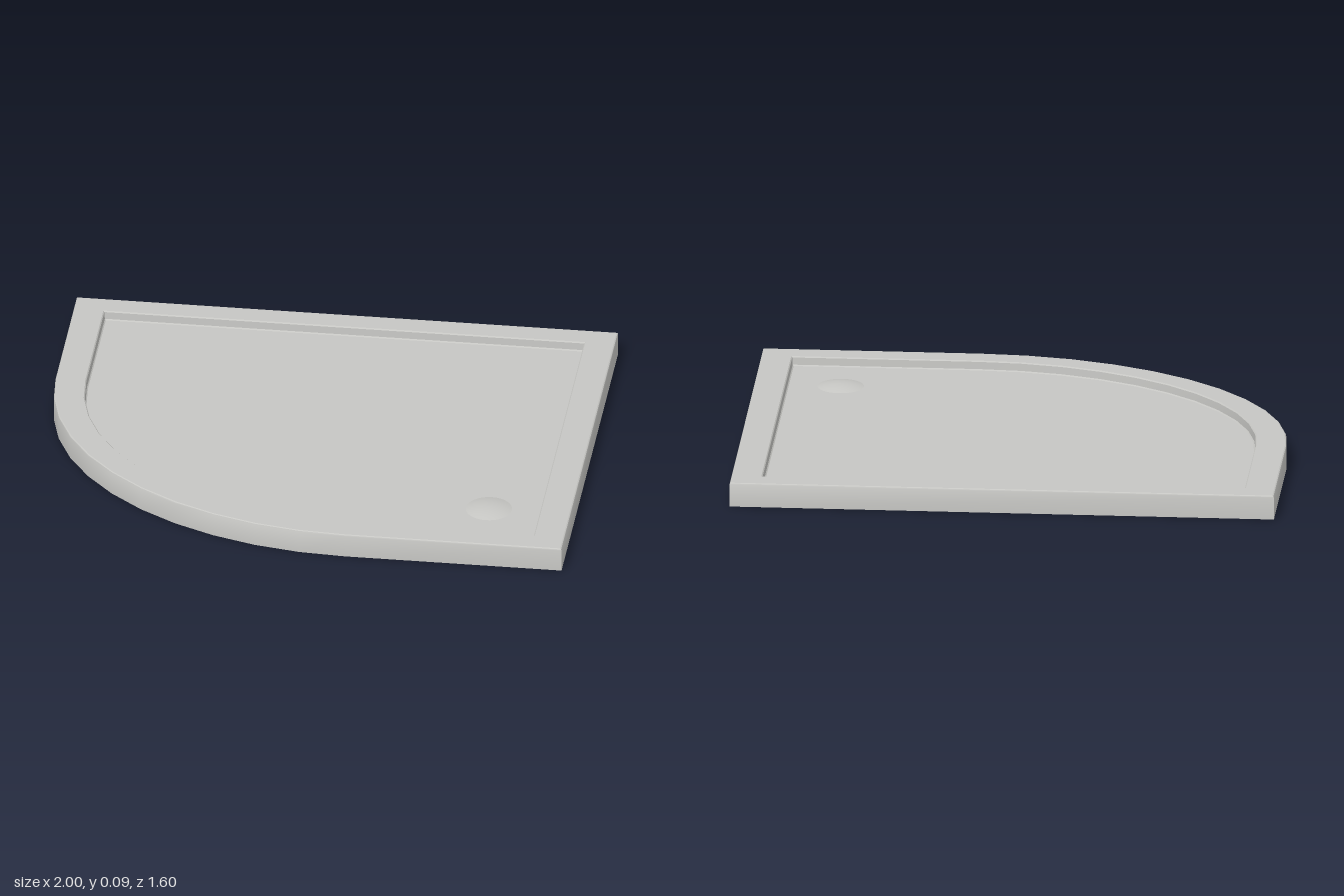
import * as THREE from 'three';
import { toCreasedNormals } from 'three/addons/utils/BufferGeometryUtils.js';

const ARC_STEPS = 11;
const FLOOR_Y = 0.055;
const DRAIN = { x: 0.69, z: 0.48, r: 0.085 };

// Tray outline inset from the outer edge: three square corners, one elliptical corner
function outline(dx, dz) {
  const left = -1 + dx, right = 1 - dx, back = -0.8 + dz, front = 0.8 - dz;
  const cx = 0.2, cz = -0.2;
  const pts = [[right, back], [right, front]];
  for (let i = 0; i <= ARC_STEPS; i++) {
    const a = (i / ARC_STEPS) * Math.PI / 2;
    pts.push([cx + (left - cx) * Math.sin(a), cz + (front - cz) * Math.cos(a)]);
  }
  pts.push([left, back]);
  return pts;
}

// Skin through a series of rings, each [insetX, insetZ, height]
function loft(rings) {
  const pos = [], index = [];
  const n = outline(0, 0).length;
  for (const [dx, dz, y] of rings) {
    for (const [x, z] of outline(dx, dz)) pos.push(x, y, z);
  }
  for (let r = 0; r < rings.length - 1; r++) {
    for (let i = 0; i < n; i++) {
      const j = (i + 1) % n;
      const a = r * n + i, b = r * n + j;
      index.push(a, a + n, b, b, a + n, b + n);
    }
  }
  const geo = new THREE.BufferGeometry();
  geo.setAttribute('position', new THREE.Float32BufferAttribute(pos, 3));
  geo.setIndex(index);
  return toCreasedNormals(geo, 0.5);
}

export function createModel() {
  const group = new THREE.Group();
  group.name = 'showerTray';
  const acrylic = new THREE.MeshStandardMaterial({ color: 0xc6c6c3, side: THREE.DoubleSide });
  acrylic.name = 'greyAcrylic';

  const add = (name, geometry) => {
    const mesh = new THREE.Mesh(geometry, acrylic);
    mesh.name = name;
    group.add(mesh);
    return mesh;
  };

  // Outer skirt with a softened top edge
  add('skirt', loft([[0, 0, 0], [0, 0, 0.084], [0.002, 0.002, 0.088], [0.006, 0.006, 0.09]]));

  // Flat rim
  add('rim', loft([[0.006, 0.006, 0.09], [0.11, 0.088, 0.09]]));

  // Short wall down into the basin
  add('basinWall', loft([[0.11, 0.088, 0.09], [0.114, 0.092, 0.086],
    [0.116, 0.094, 0.059], [0.12, 0.098, FLOOR_Y]]));

  // Basin floor with the drain opening
  const shape = new THREE.Shape(outline(0.12, 0.098).map(([x, z]) => new THREE.Vector2(x, -z)));
  shape.holes.push(new THREE.Path().absarc(DRAIN.x, -DRAIN.z, DRAIN.r, 0, Math.PI * 2, true));
  const floor = add('basinFloor', new THREE.ShapeGeometry(shape, 16));
  floor.rotation.x = -Math.PI / 2;
  floor.position.y = FLOOR_Y;

  // Shallow domed drain cover
  const profile = [];
  for (let i = 0; i <= 6; i++) {
    const t = i / 6;
    profile.push(new THREE.Vector2(DRAIN.r * (1 - t), 0.012 * (1 - (1 - t) ** 2)));
  }
  const drain = add('drainCover', new THREE.LatheGeometry(profile, 32));
  drain.position.set(DRAIN.x, FLOOR_Y, DRAIN.z);

  return group;
}
